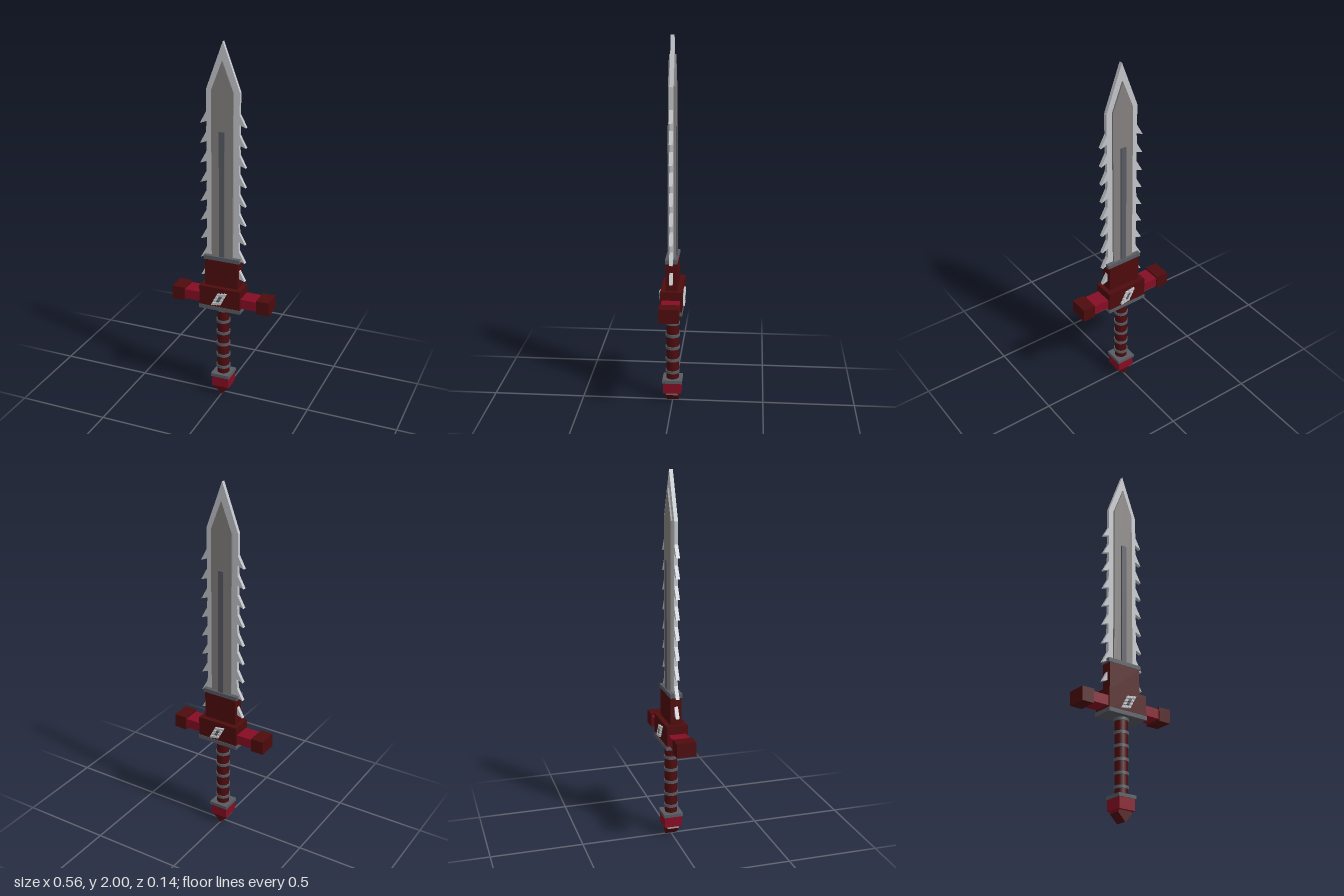
import * as THREE from 'three';

const mat = (name, color) => {
  const m = new THREE.MeshStandardMaterial({ color });
  m.name = name;
  return m;
};

export function createModel() {
  const sword = new THREE.Group();
  sword.name = 'sword';
  const silver = mat('silver', 0xc2c5c9);
  const steel = mat('warm steel', 0x858080);
  const iron = mat('dark iron', 0x575b62);
  const maroon = mat('maroon', 0x4e0b0d);
  const crimson = mat('crimson', 0x850d24);

  const add = (name, geometry, material, x = 0, y = 0, z = 0, parent = sword) => {
    const mesh = new THREE.Mesh(geometry, material);
    mesh.name = name;
    mesh.position.set(x, y, z);
    parent.add(mesh);
    return mesh;
  };
  // Box given by half width, bottom, top and half depth
  const block = (name, material, hw, y0, y1, hd, x = 0) =>
    add(name, new THREE.BoxGeometry(hw * 2, y1 - y0, hd * 2), material, x, (y0 + y1) / 2);
  // Outline extruded evenly to both sides of z = 0
  const plate = (points, depth) => {
    const shape = new THREE.Shape(points.map(([x, y]) => new THREE.Vector2(x, y)));
    return new THREE.ExtrudeGeometry(shape, { depth, bevelEnabled: false }).translate(0, 0, -depth / 2);
  };

  // Serrated blade: one edge from tip down, mirrored for the other
  const edge = [[0.092, 1.75]];
  for (let i = 0; i < 9; i++) {
    const y = 1.57 - i * 0.107;
    edge.push([0.092, y + 0.065], [0.127, y], [0.09, y + 0.014]);
  }
  edge.push([0.09, 0.69]);
  const mirrored = edge.map(([x, y]) => [-x, y]).reverse();
  add('serratedBlade', plate([[0, 2], ...mirrored.reverse(), ...edge.slice().reverse()], 0.02), silver);

  // Raised blade centre and spine
  add('bladeCore', plate([[-0.06, 0.8], [0.06, 0.8], [0.06, 1.75], [0, 1.905], [-0.06, 1.75]], 0.038), steel);
  block('bladeSpine', iron, 0.015, 0.8, 1.54, 0.027);

  // Blade socket
  block('socketCollar', iron, 0.103, 0.823, 0.845, 0.033);
  block('bladeSocket', maroon, 0.095, 0.665, 0.825, 0.031);

  // Crossguard
  block('guardBlock', maroon, 0.118, 0.56, 0.672, 0.058);
  block('guardPlate', iron, 0.12, 0.54, 0.562, 0.06);
  for (const side of [-1, 1]) {
    block('guardArm', crimson, 0.055, 0.572, 0.626, 0.048, side * 0.16);
    block('guardCap', maroon, 0.036, 0.56, 0.636, 0.053, side * 0.245);
  }

  // Slanted ribbed ornament on both faces of the guard
  for (const turn of [0, Math.PI]) {
    const ornament = new THREE.Group();
    ornament.name = 'guardOrnament';
    ornament.rotation.y = turn;
    for (let row = 0; row < 4; row++) {
      for (let col = 0; col < 3; col++) {
        const bar = plate([[-0.011, -0.007], [0.005, -0.007], [0.011, 0.007], [-0.005, 0.007]], 0.012);
        add('ornamentBar', bar, col === 1 && row % 3 ? iron : silver,
          (col - 1) * 0.019 + (row - 1.5) * 0.01, 0.611 + (row - 1.5) * 0.019 + (col - 1) * 0.003, 0.063, ornament);
      }
    }
    sword.add(ornament);
  }

  // Ringed grip
  add('grip', new THREE.CylinderGeometry(0.034, 0.034, 0.415, 20), maroon, 0, 0.337);
  for (let i = 0; i < 6; i++) {
    add('gripRing', new THREE.CylinderGeometry(0.039, 0.039, 0.016, 20), iron, 0, 0.175 + i * 0.071);
  }

  // Pommel with wedge end
  block('pommelPlate', iron, 0.054, 0.117, 0.135, 0.054);
  block('pommel', crimson, 0.049, 0.057, 0.12, 0.049);
  add('pommelWedge', new THREE.BoxGeometry(0.064, 0.064, 0.066), maroon, 0, 0.0453).rotation.z = Math.PI / 4;

  return sword;
}
